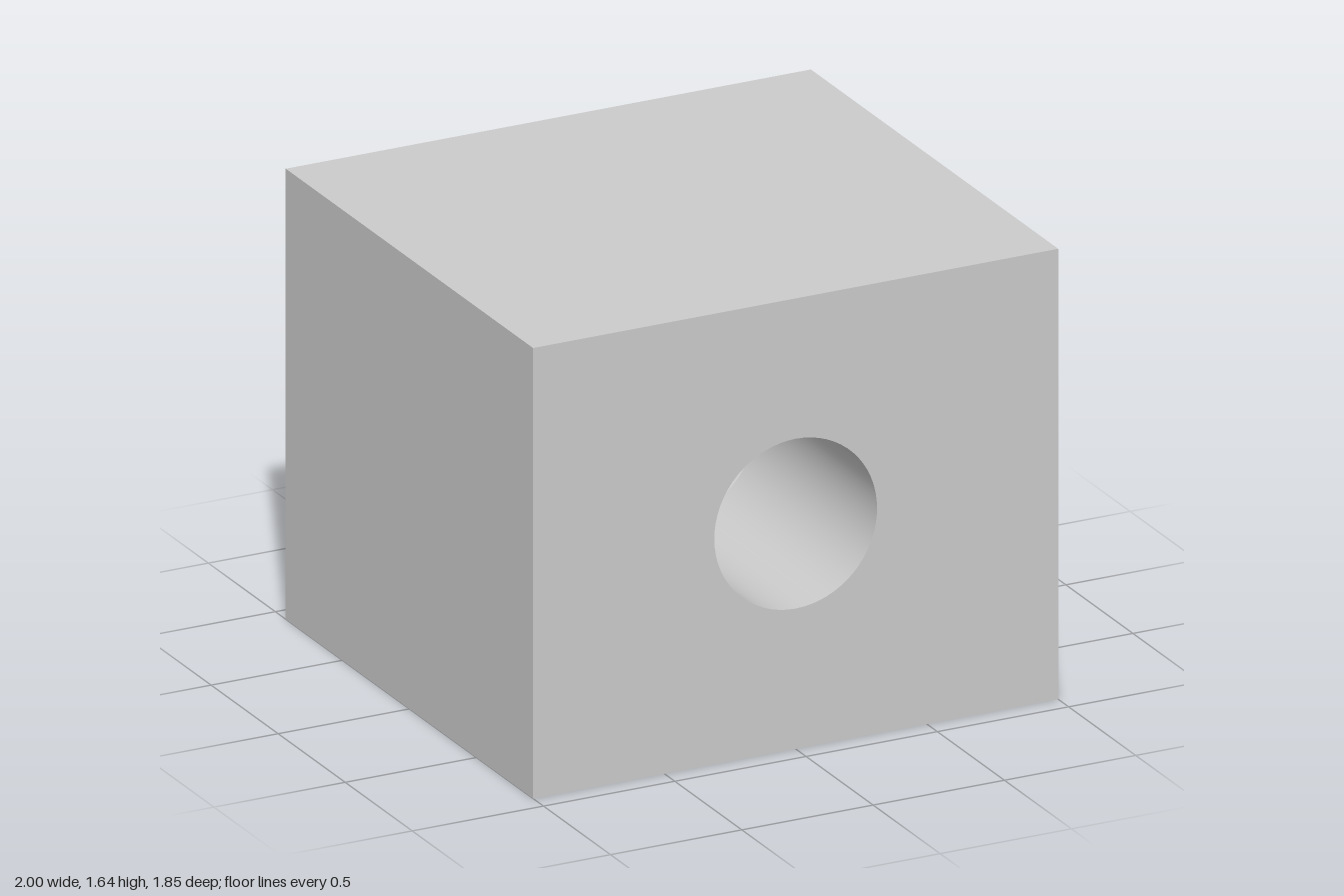
import * as THREE from 'three';

const W = 2, H = 1.645, D = 1.845;      // overall block
const R = 0.31, BORE = 0.9;             // round front bore
const PW = 0.39, PH = 0.263;            // half size of the rear pocket
const STRAIGHT = 0.113, APEX = 0.36;    // pocket depths: straight walls, then V floor

export function createModel() {
  const group = new THREE.Group();
  const solid = new THREE.MeshStandardMaterial({ color: 0xcccccc });
  const inner = new THREE.MeshStandardMaterial({ color: 0xcccccc, side: THREE.DoubleSide });

  const add = (name, geometry, material, z = 0) => {
    const mesh = new THREE.Mesh(geometry, material);
    mesh.name = name;
    mesh.position.set(0, H / 2, z);
    group.add(mesh);
    return mesh;
  };

  const rect = (Type, w, h) => new Type([
    new THREE.Vector2(-w, -h), new THREE.Vector2(w, -h),
    new THREE.Vector2(w, h), new THREE.Vector2(-w, h),
  ]);

  // Four outer walls: a box without its front and back faces
  const sides = new THREE.BoxGeometry(W, H, D);
  sides.setIndex(Array.from(sides.index.array.slice(0, 24)));
  sides.clearGroups();
  add('outerWalls', sides, solid);

  // Front face with the round opening
  const front = rect(THREE.Shape, W / 2, H / 2);
  front.holes.push(new THREE.Path().absarc(0, 0, R, 0, Math.PI * 2, true));
  add('frontFace', new THREE.ShapeGeometry(front, 32), solid, D / 2);

  // Back face with the rectangular opening
  const back = rect(THREE.Shape, W / 2, H / 2);
  back.holes.push(rect(THREE.Path, PW, PH));
  add('backFace', new THREE.ShapeGeometry(back), solid, -D / 2).rotation.y = Math.PI;

  // Blind bore: straight wall, chamfered end and flat floor
  const wall = new THREE.CylinderGeometry(R, R, BORE, 64, 1, true);
  wall.rotateX(Math.PI / 2);
  add('boreWall', wall, inner, D / 2 - BORE / 2);
  const chamfer = new THREE.CylinderGeometry(R, R - 0.05, 0.05, 64, 1, true);
  chamfer.rotateX(Math.PI / 2);
  add('boreChamfer', chamfer, inner, D / 2 - BORE - 0.025);
  add('boreFloor', new THREE.CircleGeometry(R - 0.05, 64), inner, D / 2 - BORE - 0.05);

  // Rear pocket profile as (depth, height), swept across the width
  const profile = [[0, -PH], [STRAIGHT, -PH], [APEX, 0], [STRAIGHT, PH], [0, PH]];
  const points = [];
  for (let i = 0; i < profile.length - 1; i++) {
    const [d0, y0] = profile[i], [d1, y1] = profile[i + 1];
    points.push(-PW, y0, d0, PW, y1, d1, PW, y0, d0);
    points.push(-PW, y0, d0, -PW, y1, d1, PW, y1, d1);
  }
  const pocket = new THREE.BufferGeometry();
  pocket.setAttribute('position', new THREE.Float32BufferAttribute(points, 3));
  pocket.computeVertexNormals();
  add('pocketFloor', pocket, inner, -D / 2);

  // Pocket end walls
  const endShape = new THREE.Shape(profile.map(([d, y]) => new THREE.Vector2(d, y)));
  for (const side of [-1, 1]) {
    const end = new THREE.ShapeGeometry(endShape);
    end.rotateY(-Math.PI / 2);
    end.translate(side * PW, 0, 0);
    add(side > 0 ? 'pocketLeftWall' : 'pocketRightWall', end, inner, -D / 2);
  }

  return group;
}
